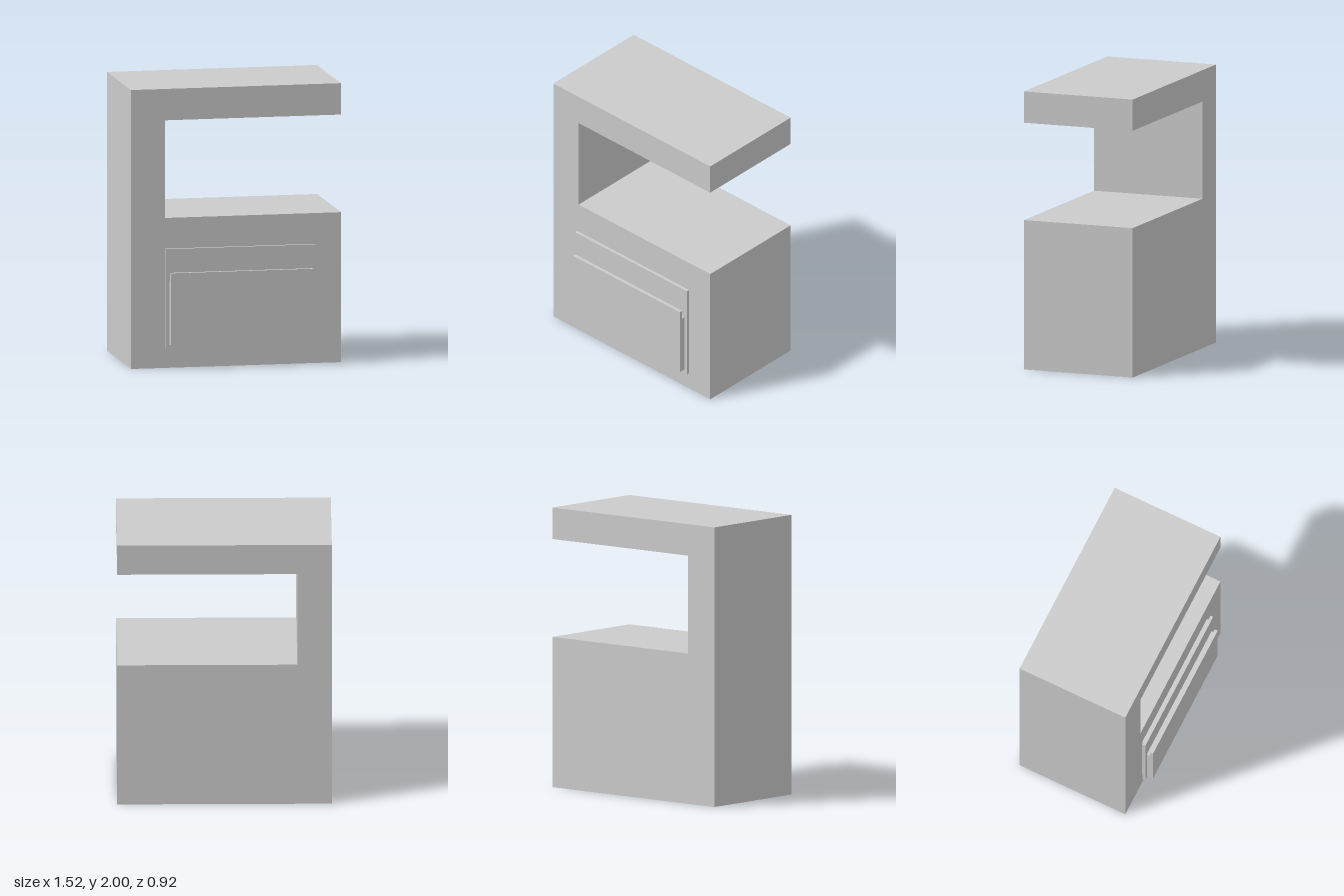
import * as THREE from 'three';

const material = new THREE.MeshStandardMaterial({ color: 0xcccccc, flatShading: true });

// Box given by its limits on each axis
function slab(name, [x0, x1], [y0, y1], [z0, z1]) {
  const mesh = new THREE.Mesh(new THREE.BoxGeometry(x1 - x0, y1 - y0, z1 - z0), material);
  mesh.position.set((x0 + x1) / 2, (y0 + y1) / 2, (z0 + z1) / 2);
  mesh.name = name;
  return mesh;
}

export function createModel() {
  const model = new THREE.Group();
  model.name = 'cabinet';

  // C-shaped body: base, side post and overhanging top in one profile
  const backZ = -0.46, frontZ = 0.375;
  const profile = new THREE.Shape([
    [-0.76, 0], [0.76, 0], [0.76, 1.075], [-0.515, 1.075],
    [-0.515, 1.775], [0.76, 1.775], [0.76, 2], [-0.76, 2],
  ].map(([x, y]) => new THREE.Vector2(x, y)));
  const bodyGeometry = new THREE.ExtrudeGeometry(profile, { depth: frontZ - backZ, bevelEnabled: false });
  bodyGeometry.translate(0, 0, backZ);
  const body = new THREE.Mesh(bodyGeometry, material);
  body.name = 'body';
  model.add(body);

  // Layered front panel, from the body outwards
  const panel = new THREE.Group();
  panel.name = 'frontPanel';
  const innerX = [-0.49, 0.545];
  panel.add(
    slab('panelBacking', innerX, [0.175, 0.83], [frontZ, 0.39]),
    slab('panelPlate', [-0.515, 0.57], [0.143, 0.857], [0.39, 0.412]),
    slab('coverSpacer', innerX, [0.175, 0.625], [0.412, 0.436]),
    slab('coverPlate', innerX, [0.175, 0.69], [0.436, 0.46]),
  );
  model.add(panel);

  return model;
}
